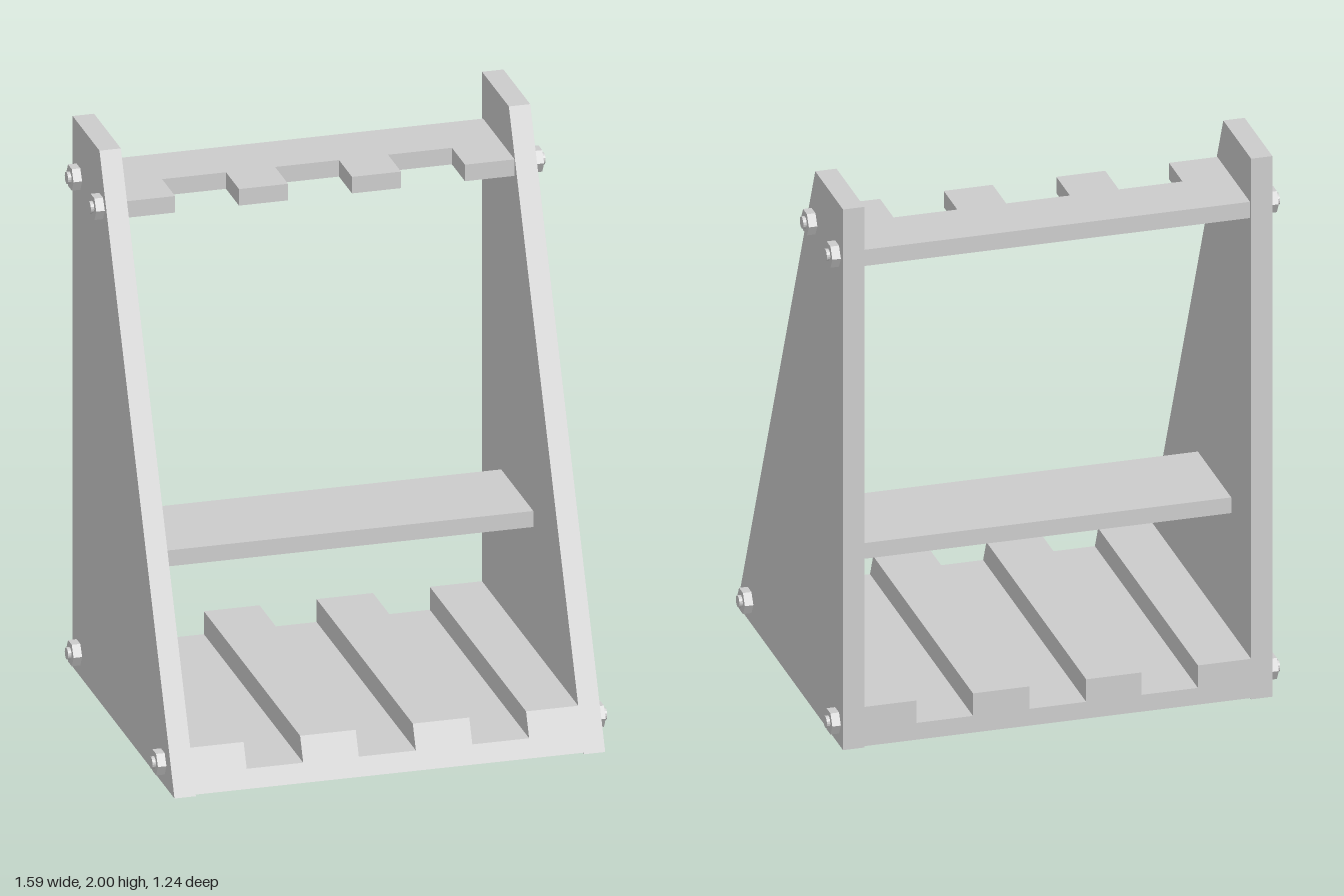
import * as THREE from 'three';

const material = new THREE.MeshStandardMaterial({ color: 0xcccccc, flatShading: true });
const BACK = -0.615, INNER = 0.68, THICK = 0.075;
// front edge of the rack leans back with height
const frontZ = (y) => 0.62 - 0.455 * y;

function add(parent, name, geometry, x = 0, y = 0, z = 0) {
  const mesh = new THREE.Mesh(geometry, material);
  mesh.name = name;
  mesh.position.set(x, y, z);
  parent.add(mesh);
  return mesh;
}

function extrude(points, depth) {
  const shape = new THREE.Shape(points.map(([x, y]) => new THREE.Vector2(x, y)));
  return new THREE.ExtrudeGeometry(shape, { depth, bevelEnabled: false });
}

// strip running along x with three rectangular notches cut into its upper edge
function notchedOutline(bottom, floor, top, notches) {
  const points = [[-INNER, bottom], [INNER, bottom], [INNER, top]];
  for (const [a, b] of [...notches].reverse()) points.push([b, top], [b, floor], [a, floor], [a, top]);
  points.push([-INNER, top]);
  return points;
}

export function createModel() {
  const group = new THREE.Group();
  group.name = 'rack';

  // grooved base, front face sheared to follow the sloping sides
  const base = extrude(notchedOutline(0.005, 0.067, 0.15, [[-0.493, -0.295], [-0.1, 0.1], [0.298, 0.497]]), 1);
  const p = base.attributes.position;
  for (let i = 0; i < p.count; i++) p.setZ(i, p.getZ(i) > 0.5 ? frontZ(p.getY(i)) : BACK);
  base.computeVertexNormals();
  add(group, 'groovedBase', base);

  // middle shelf
  add(group, 'shelf', new THREE.BoxGeometry(2 * INNER, 0.058, 0.39), 0, 0.617, -0.188);

  // top bar with notches opening to the front (outline y becomes z)
  const bar = extrude(notchedOutline(0.22, 0.38, 0.6, []).map(([x, z]) => [x, z]), 0.06);
  bar.dispose();
  const notched = extrude(notchedOutline(-0.602, -0.378, -0.22, [[-0.51, -0.286], [-0.114, 0.11], [0.282, 0.506]]), 0.06);
  notched.rotateX(Math.PI / 2);
  add(group, 'notchedBar', notched, 0, 1.835, 0);

  // side panels with hex nuts and bolt ends
  const profile = [[BACK, 0], [0.62, 0], [frontZ(2), 2], [BACK, 2]];
  const boltSpots = [[-0.27, 1.807], [-0.545, 1.807], [0.478, 0.08], [-0.545, 0.08]];
  for (const side of [1, -1]) {
    const label = side > 0 ? 'left' : 'right';
    const panel = extrude(profile, THICK);
    panel.rotateY(-Math.PI / 2); // profile x becomes z, thickness runs towards -x
    add(group, label + 'Panel', panel, side > 0 ? INNER + THICK : -INNER);

    for (const [z, y] of boltSpots) {
      const bolt = new THREE.Group();
      bolt.name = label + 'Bolt';
      bolt.position.set(side * (INNER + THICK), y, z);
      const nut = new THREE.CylinderGeometry(0.045, 0.045, 0.03, 6).rotateZ(Math.PI / 2);
      add(bolt, 'nut', nut, side * 0.015);
      const end = new THREE.CylinderGeometry(0.021, 0.021, 0.042, 16).rotateZ(Math.PI / 2);
      add(bolt, 'boltEnd', end, side * 0.021);
      group.add(bolt);
    }
  }
  return group;
}
